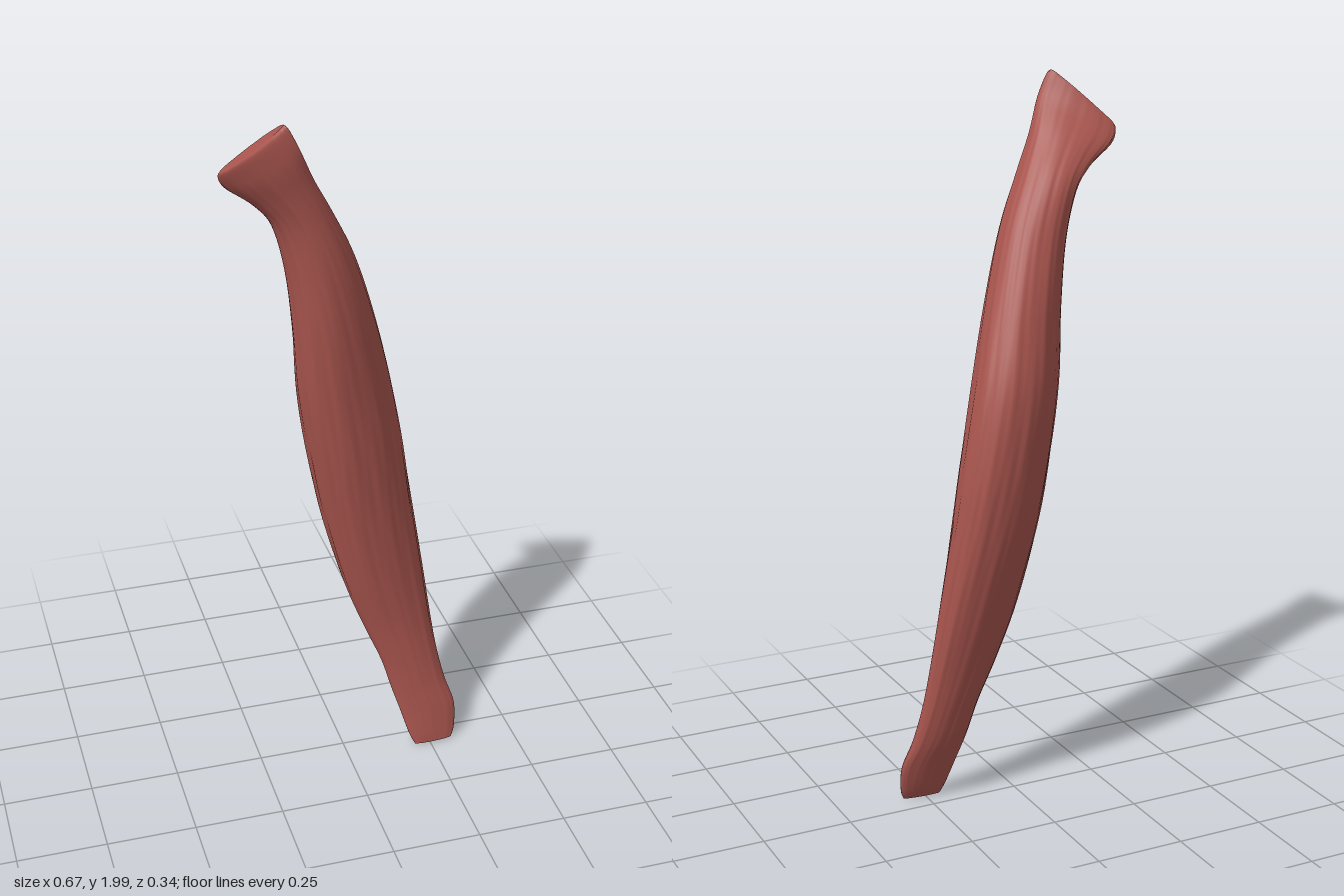
import * as THREE from 'three';

// Cross-sections from bottom to top:
// left x, left y, right x, right y, back z, front z, skew (-1..1)
const SECTIONS = [
  [0.205, 0.008, 0.315, 0.012, 0.054, 0.067, 0],
  [0.188, 0.045, 0.327, 0.045, 0.038, 0.065, 0],
  [0.165, 0.12, 0.33, 0.12, 0.01, 0.058, 0],
  [0.14, 0.2, 0.306, 0.2, -0.02, 0.05, -0.1],
  [0.11, 0.3, 0.285, 0.3, -0.045, 0.043, -0.2],
  [0.06, 0.42, 0.268, 0.42, -0.07, 0.04, -0.25],
  [0, 0.58, 0.248, 0.58, -0.105, 0.05, -0.3],
  [-0.06, 0.8, 0.217, 0.8, -0.147, 0.07, -0.32],
  [-0.1, 1, 0.188, 1, -0.168, 0.09, -0.35],
  [-0.13, 1.2, 0.147, 1.2, -0.16, 0.105, -0.35],
  [-0.145, 1.4, 0.088, 1.4, -0.11, 0.12, -0.25],
  [-0.163, 1.56, 0.015, 1.6, -0.055, 0.13, 0],
  [-0.195, 1.69, -0.055, 1.74, -0.02, 0.138, 0.3],
  [-0.245, 1.755, -0.11, 1.84, 0.01, 0.15, 0.6],
  [-0.315, 1.81, -0.152, 1.93, 0.035, 0.17, 0.85],
  [-0.335, 1.85, -0.182, 1.99, 0.055, 0.172, 0.9],
  [-0.322, 1.868, -0.193, 2, 0.067, 0.163, 0.92],
];
const SIDES = 96;
const STEPS = 6;

// Smooth blend between neighbouring cross-sections
function sectionAt(u) {
  const last = SECTIONS.length - 1;
  const i = Math.min(Math.floor(u), last - 1);
  const f = u - i;
  const pick = (k) => SECTIONS[Math.max(0, Math.min(last, k))];
  const [a, b, c, d] = [pick(i - 1), pick(i), pick(i + 1), pick(i + 2)];
  return b.map((v, k) => v + 0.5 * f * (c[k] - a[k]
    + f * (2 * a[k] - 5 * v + 4 * c[k] - d[k] + f * (3 * (v - c[k]) + d[k] - a[k]))));
}

// Shallow lengthwise fibre grooves that drift slowly around the belly
function fibre(t, h) {
  return 0.010 * Math.sin(9 * t + 3 * h)
    + 0.008 * Math.sin(17 * t - 4 * h + 2 * Math.sin(3 * h))
    + 0.006 * Math.sin(29 * t + 5 * h + Math.sin(7 * h));
}

function ringAt(u) {
  const [xl, yl, xr, yr, zb, zf, skew] = sectionAt(u);
  const ring = [];
  for (let j = 0; j < SIDES; j++) {
    const t = (j / SIDES) * Math.PI * 2;
    const g = 0.99 + fibre(t, (yl + yr) / 2);
    const c = Math.cos(t) * g;
    const s = Math.sin(t) * g;
    ring.push(new THREE.Vector3(
      (xl + xr) / 2 + (xr - xl) / 2 * c,
      (yl + yr) / 2 + (yr - yl) / 2 * c,
      (zb + zf) / 2 + (zf - zb) / 2 * (skew * c + Math.sqrt(1 - skew * skew) * s),
    ));
  }
  return ring;
}

function buildGeometry(points, index) {
  const geometry = new THREE.BufferGeometry().setFromPoints(points);
  geometry.setIndex(index);
  geometry.computeVertexNormals();
  return geometry;
}

function loft(rings) {
  const index = [];
  for (let i = 0; i < rings.length - 1; i++) {
    for (let j = 0; j < SIDES; j++) {
      const k = (j + 1) % SIDES;
      const a = i * SIDES + j;
      const b = i * SIDES + k;
      index.push(a, a + SIDES, b, b, a + SIDES, b + SIDES);
    }
  }
  return buildGeometry(rings.flat(), index);
}

function cap(ring, up) {
  const centre = new THREE.Vector3();
  ring.forEach((p) => centre.addScaledVector(p, 1 / SIDES));
  const index = [];
  for (let j = 0; j < SIDES; j++) {
    const k = (j + 1) % SIDES;
    index.push(SIDES, up ? k : j, up ? j : k);
  }
  return buildGeometry([...ring, centre], index);
}

export function createModel() {
  const group = new THREE.Group();
  group.name = 'muscle';
  const red = new THREE.MeshStandardMaterial({ color: 0xa9554e });
  red.name = 'muscle red';
  const add = (name, geometry) => {
    const mesh = new THREE.Mesh(geometry, red);
    mesh.name = name;
    group.add(mesh);
  };

  const rings = [];
  const count = (SECTIONS.length - 1) * STEPS;
  for (let i = 0; i <= count; i++) rings.push(ringAt(i / STEPS));

  // Spindle body with its flat flared upper end and thin lower end
  add('muscleBelly', loft(rings));
  add('upperEnd', cap(rings[count], true));
  add('lowerEnd', cap(rings[0], false));
  return group;
}
